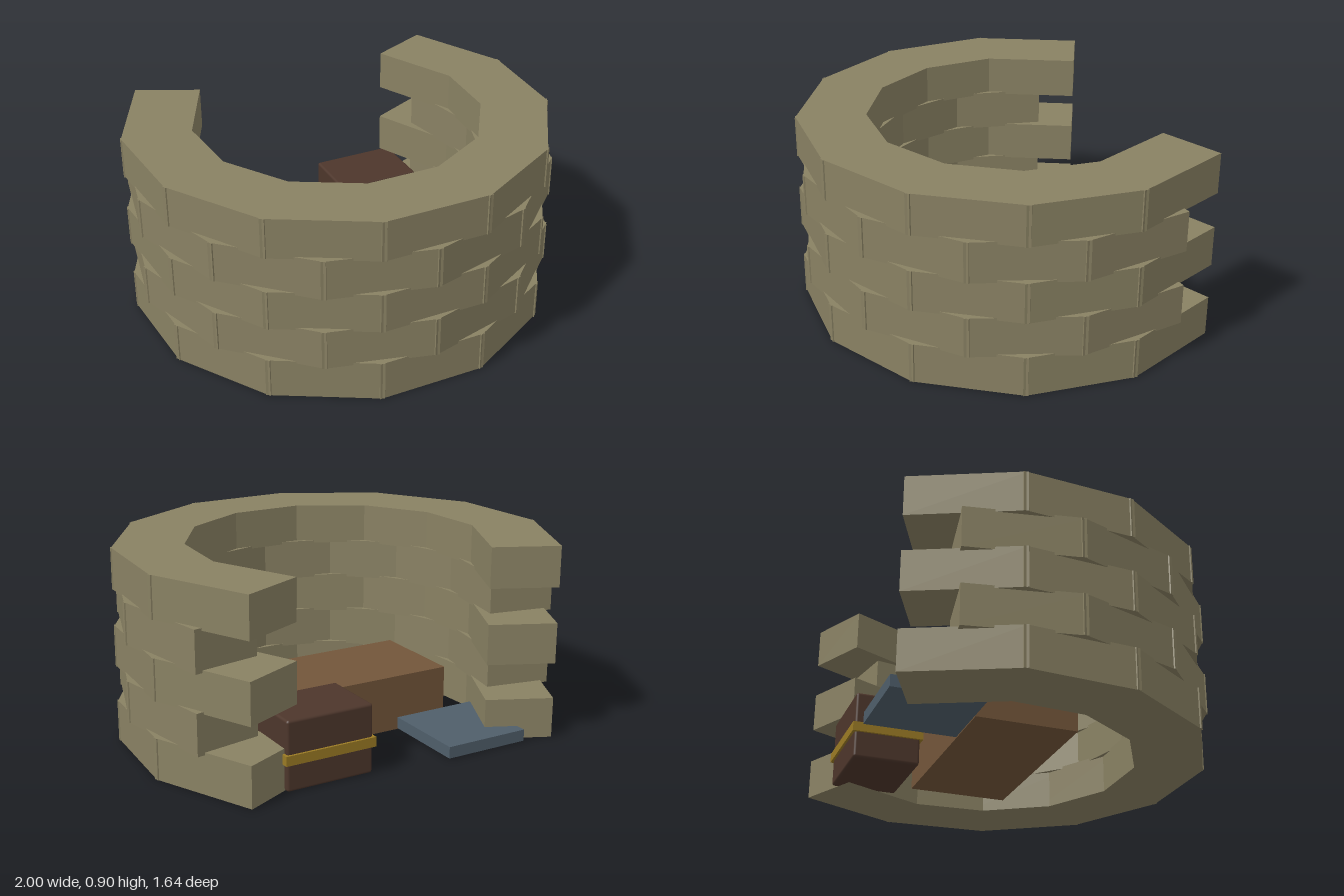
import * as THREE from 'three';
import { RoundedBoxGeometry } from 'three/addons/geometries/RoundedBoxGeometry.js';

const material = (name, color) => {
  const m = new THREE.MeshStandardMaterial({ color });
  m.name = name;
  return m;
};

export function createModel() {
  const model = new THREE.Group();
  model.name = 'stoneShelter';

  const stone = material('stone', 0x898163);
  const wood = material('wood', 0x73563a);
  const slate = material('slate', 0x4f5e6a);
  const darkWood = material('darkWood', 0x4d362b);
  const brass = material('brass', 0x9a7a24);

  // Box given by its extents on each axis
  const box = (name, mat, [x0, x1], [y0, y1], [z0, z1], bevel = 0) => {
    const size = [x1 - x0, y1 - y0, z1 - z0];
    const geometry = bevel
      ? new RoundedBoxGeometry(...size, 2, bevel)
      : new THREE.BoxGeometry(...size);
    const mesh = new THREE.Mesh(geometry, mat);
    mesh.name = name;
    mesh.position.set((x0 + x1) / 2, (y0 + y1) / 2, (z0 + z1) / 2);
    model.add(mesh);
  };

  // Curved wall: five courses of blocks, every other one shifted by half a block
  const wall = new THREE.Group();
  wall.name = 'wall';
  wall.position.z = -0.177;
  const step = THREE.MathUtils.degToRad(28.75);
  const outer = 0.967, depth = 0.31, height = 0.188, pitch = 0.177;
  const block = new THREE.BoxGeometry(0.518, height, depth);
  for (let course = 0; course < 5; course++) {
    const reach = course % 2 ? 3.5 : 4;
    for (let i = -reach; i <= reach; i++) {
      const angle = i * step;
      const radius = outer - depth / 2;
      const mesh = new THREE.Mesh(block, stone);
      mesh.name = 'wallBlock';
      mesh.position.set(
        Math.sin(angle) * radius,
        course * pitch + height / 2,
        Math.cos(angle) * radius
      );
      mesh.rotation.y = angle;
      wall.add(mesh);
    }
  }
  model.add(wall);

  // Wooden bench inside the wall
  box('bench', wood, [-0.468, 0.466], [0, 0.26], [-0.39, 0.073]);

  // Flat slab at the opening
  box('floorSlab', slate, [-0.622, -0.212], [0.004, 0.058], [-0.803, -0.391]);

  // Chest with a metal band
  box('chest', darkWood, [0.155, 0.568], [0, 0.315], [-0.753, -0.445], 0.012);
  box('chestBand', brass, [0.144, 0.579], [0.122, 0.166], [-0.764, -0.434]);

  return model;
}
